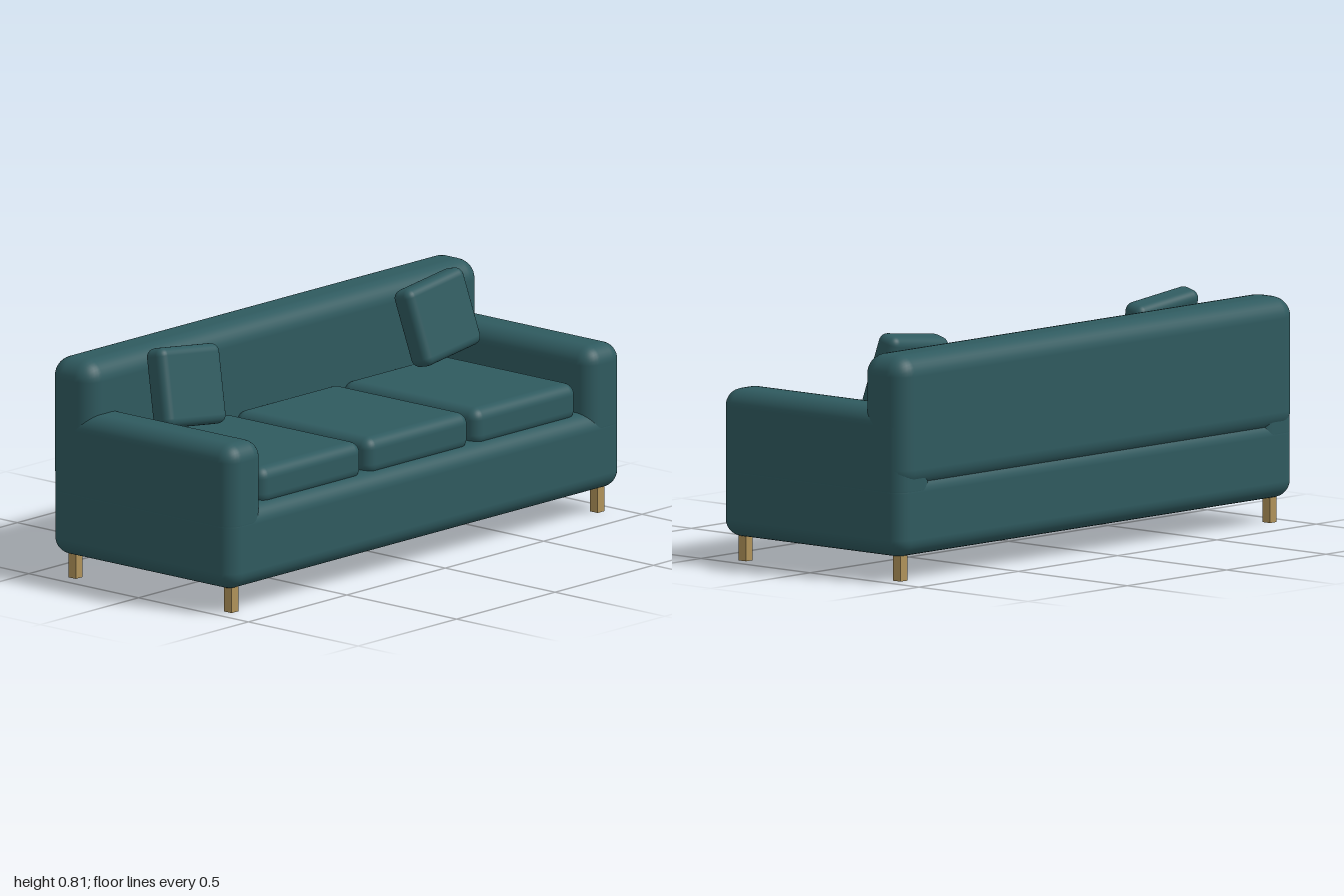
import * as THREE from 'three';
import { RoundedBoxGeometry } from 'three/addons/geometries/RoundedBoxGeometry.js';

export function createModel() {
  const sofa = new THREE.Group();
  sofa.name = 'sofa';
  const fabric = new THREE.MeshStandardMaterial({ name: 'teal fabric', color: 0x2f5a5f });
  const wood = new THREE.MeshStandardMaterial({ name: 'light wood', color: 0xb0935a });

  // Rounded upholstered block given by its min and max corners
  function block(name, min, max, radius) {
    const size = max.map((v, i) => v - min[i]);
    const mesh = new THREE.Mesh(new RoundedBoxGeometry(...size, 4, radius), fabric);
    mesh.position.set(...max.map((v, i) => (v + min[i]) / 2));
    mesh.name = name;
    sofa.add(mesh);
    return mesh;
  }

  // Frame: base and backrest
  block('base', [-1, 0.085, -0.412], [1, 0.365, 0.42], 0.06);
  block('backrest', [-1, 0.315, -0.42], [1, 0.775, -0.224], 0.07);

  // Three seat cushions
  for (const i of [-1, 0, 1]) {
    const x = i * 0.545;
    block('seatCushion', [x - 0.261, 0.345, -0.235], [x + 0.261, 0.477, 0.385], 0.04);
  }

  for (const side of [-1, 1]) {
    const label = side > 0 ? 'left' : 'right';

    // Armrest
    const arm = block(label + 'Armrest', [-0.089, 0.255, -0.412], [0.089, 0.592, 0.42], 0.06);
    arm.position.x = side * 0.911;

    // Throw pillow, leaning back and rolled outwards
    const pillow = block(label + 'Pillow', [-0.15, -0.137, -0.044], [0.15, 0.137, 0.044], 0.03);
    pillow.position.set(side * 0.638, 0.655, -0.107);
    pillow.rotation.set(-0.25, 0, side * 0.12);

    // Front and back legs
    for (const [name, z] of [['FrontLeg', 0.359], ['BackLeg', -0.35]]) {
      const leg = new THREE.Mesh(new THREE.BoxGeometry(0.034, 0.1, 0.034), wood);
      leg.position.set(side * 0.93, 0.05, z);
      leg.name = label + name;
      sofa.add(leg);
    }
  }
  return sofa;
}
